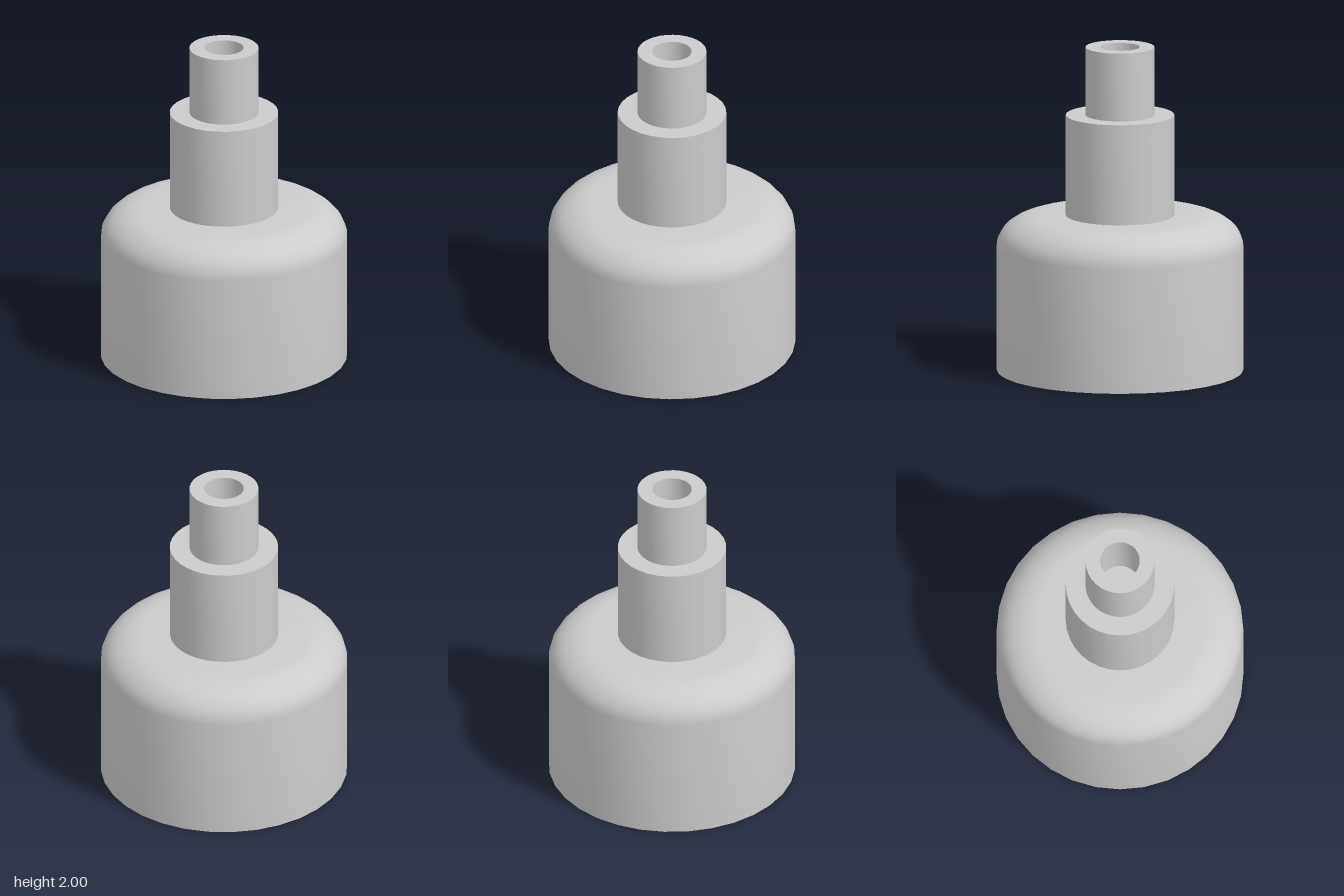
import * as THREE from 'three';
import { toCreasedNormals } from 'three/addons/utils/BufferGeometryUtils.js';

const material = new THREE.MeshStandardMaterial({ color: 0xcccccc });

// Turned part from an [radius, height] profile, listed from the bottom outwards and up
function turned(name, profile) {
  const points = profile.map(([r, y]) => new THREE.Vector2(r, y));
  const geometry = toCreasedNormals(new THREE.LatheGeometry(points, 32), 0.6);
  const mesh = new THREE.Mesh(geometry, material);
  mesh.name = name;
  return mesh;
}

export function createModel() {
  const model = new THREE.Group();
  model.name = 'steppedBottle';

  // Wide body with a rounded shoulder
  const radius = 0.75, top = 0.96, shoulderWidth = 0.25, shoulderHeight = 0.19, steps = 10;
  const body = [[0, 0], [radius, 0]];
  for (let i = 0; i <= steps; i++) {
    const a = (i / steps) * Math.PI / 2;
    body.push([
      radius - shoulderWidth * (1 - Math.cos(a)),
      top - shoulderHeight * (1 - Math.sin(a)),
    ]);
  }
  body.push([0, top]);
  model.add(turned('body', body));

  // Solid collar
  const collarTop = 1.58;
  model.add(turned('collar', [[0.33, top], [0.33, collarTop], [0, collarTop]]));

  // Hollow spout standing on the collar
  model.add(turned('spout', [[0.21, collarTop], [0.21, 2], [0.12, 2], [0.12, collarTop]]));

  return model;
}
